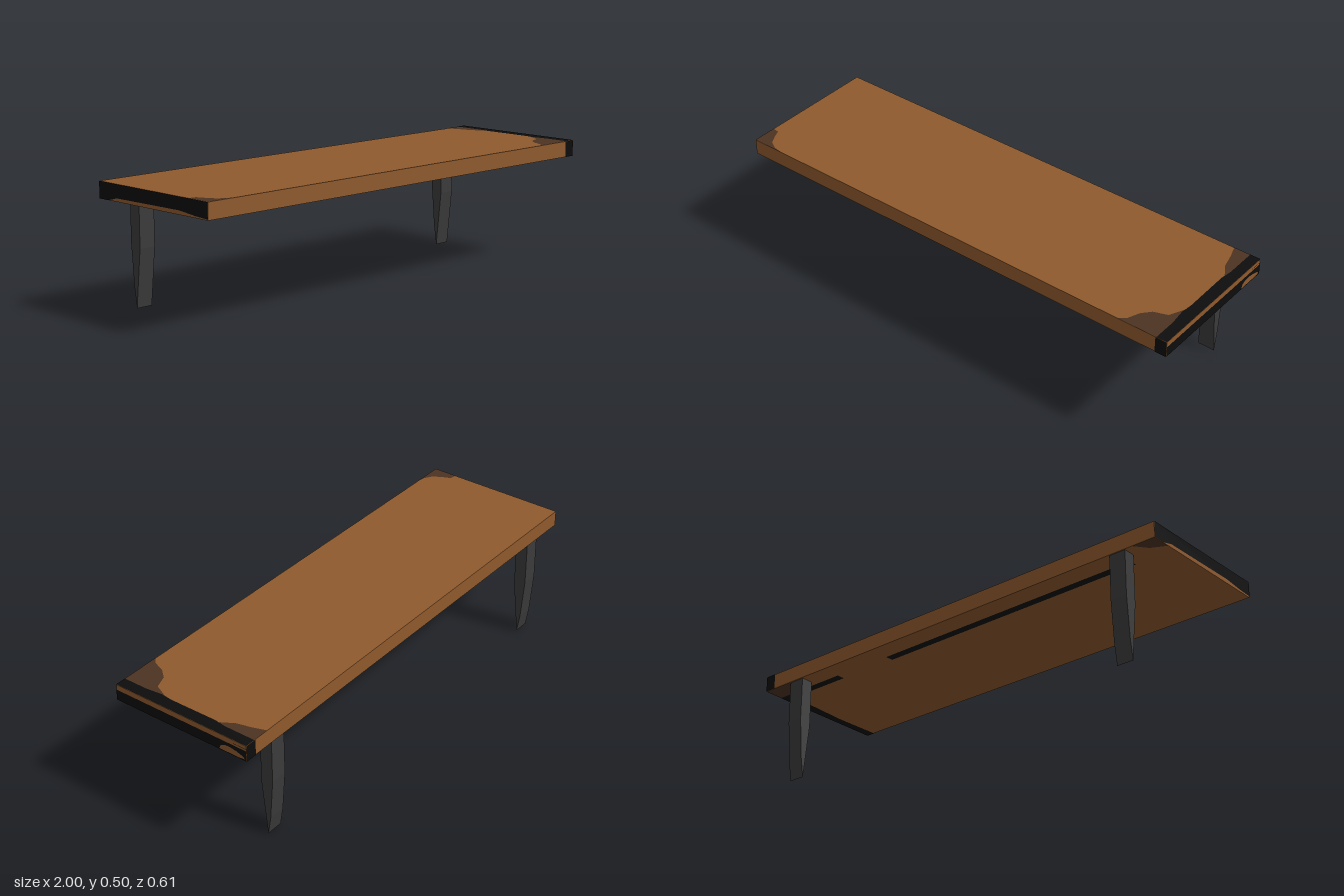
import * as THREE from 'three';

const mat = (name, color) => {
  const m = new THREE.MeshStandardMaterial({ color });
  m.name = name;
  return m;
};

export function createModel() {
  const wood = mat('wood', 0x8f5a2d);
  const darkWood = mat('darkWood', 0x4d3322);
  const black = mat('black', 0x0d0d0d);
  const metal = mat('metal', 0x3b3b3b);

  const group = new THREE.Group();
  const add = (name, geometry, material) => {
    const mesh = new THREE.Mesh(geometry, material);
    mesh.name = name;
    group.add(mesh);
    return mesh;
  };

  const bottom = 0.431, top = 0.496, depth = 0.302;

  // Board
  add('board', new THREE.BoxGeometry(2, top - bottom, depth * 2), wood)
    .position.y = (top + bottom) / 2;

  // Each side: sign of the first shape axis, sign of the second, placement
  const sides = {
    top: [1, -1, g => g.rotateX(-Math.PI / 2), [0, top, 0], [0, 1, 0]],
    under: [1, 1, g => g.rotateX(Math.PI / 2), [0, bottom, 0], [0, -1, 0]],
    front: [1, 1, g => g, [0, 0, depth], [0, 0, 1]],
    back: [-1, 1, g => g.rotateY(Math.PI), [0, 0, -depth], [0, 0, -1]],
    left: [-1, 1, g => g.rotateY(Math.PI / 2), [1, 0, 0], [1, 0, 0]],
    right: [1, 1, g => g.rotateY(-Math.PI / 2), [-1, 0, 0], [-1, 0, 0]],
  };

  // Flat painted patch; points are (x,z) on top/under, (x,y) on front/back, (z,y) on ends
  const patch = (name, side, material, points, hole) => {
    const [sa, sb, turn, pos, normal] = sides[side];
    const toVec = ([a, b]) => new THREE.Vector2(a * sa, b * sb);
    const shape = new THREE.Shape(points.map(toVec));
    if (hole) shape.holes.push(new THREE.Path(hole.map(toVec)));
    const geo = turn(new THREE.ShapeGeometry(shape));
    const lift = material === black ? 0.0014 : 0.0008;
    geo.translate(...pos.map((p, i) => p + normal[i] * lift));
    add(name, geo, material);
  };
  const rect = (a0, b0, a1, b1) => [[a0, b0], [a1, b0], [a1, b1], [a0, b1]];

  // Top: burnt end and worn corners
  patch('topEndBand', 'top', black, [
    [1, -depth], [0.957, -depth], [0.957, -0.17], [0.95, -0.12], [0.952, 0.08],
    [0.947, 0.13], [0.955, 0.2], [0.955, depth], [1, depth]]);
  patch('topBackStain', 'top', darkWood, [
    [0.97, -depth], [0.887, -depth], [0.905, -0.25], [0.92, -0.19], [0.95, -0.14], [0.97, -0.14]]);
  patch('topFrontStain', 'top', darkWood, [
    [0.97, depth], [0.79, depth], [0.815, 0.28], [0.835, 0.23], [0.865, 0.195],
    [0.92, 0.175], [0.95, 0.11], [0.97, 0.11]]);
  patch('topCornerStain', 'top', darkWood, [
    [-1, depth], [-1, 0.2], [-0.97, 0.205], [-0.955, 0.24], [-0.935, 0.275], [-0.9, 0.295], [-0.86, depth]]);

  // Front and back: black end caps
  for (const side of ['front', 'back']) {
    patch(side + 'EndBand', side, black, rect(0.952, bottom, 1, top));
  }

  // Left end: black lower band with a bare spot
  patch('leftEndBand', 'left', black, rect(-depth, bottom, depth, 0.475), [
    [-0.18, 0.434], [-0.187, 0.45], [-0.205, 0.459], [-0.23, 0.46], [-0.26, 0.455],
    [-0.285, 0.447], [-0.296, 0.438], [-0.27, 0.434]]);
  patch('leftEndLine', 'left', black, rect(-depth, 0.482, -0.245, 0.484));

  // Right end: black with bare wood along the lower edge
  patch('rightEndBand', 'right', black, [
    [-depth, bottom], [-0.25, bottom], [-0.2, 0.444], [0.15, 0.447], [0.24, 0.438],
    [depth, 0.435], [depth, top], [-depth, top]]);

  // Underside: burnt end, corner stains and two dark strips
  patch('underEndBand', 'under', black, [
    [1, -0.22], [0.93, -0.22], [0.92, -0.17], [0.955, -0.1], [0.965, 0.1], [0.96, depth], [1, depth]]);
  patch('underBackStain', 'under', darkWood, [
    [1, -depth], [0.86, -depth], [0.88, -0.24], [0.91, -0.16], [1, -0.14]]);
  patch('underCornerStain', 'under', darkWood, [[-1, -depth], [-0.9, -depth], [-0.94, -0.25], [-1, -0.22]]);
  patch('underLongStrip', 'under', black, rect(-0.83, -0.218, 0.39, -0.184));
  patch('underShortStrip', 'under', black, rect(0.66, -0.222, 0.92, -0.188));

  // Legs: tapered spikes, profile given as (z, y) and extruded along x
  const profile = [[-0.245, bottom], [-0.245, 0.23], [-0.27, 0], [-0.283, 0.08], [-0.297, 0.25], [-0.297, bottom]];
  const legShape = new THREE.Shape(profile.map(([z, y]) => new THREE.Vector2(-z, y)));
  for (const [name, x] of [['rightLeg', -0.83], ['leftLeg', 0.825]]) {
    const geo = new THREE.ExtrudeGeometry(legShape, { depth: 0.07, bevelEnabled: false });
    geo.translate(0, 0, -0.035).rotateY(Math.PI / 2);
    add(name, geo, metal).position.x = x;
  }
  return group;
}
